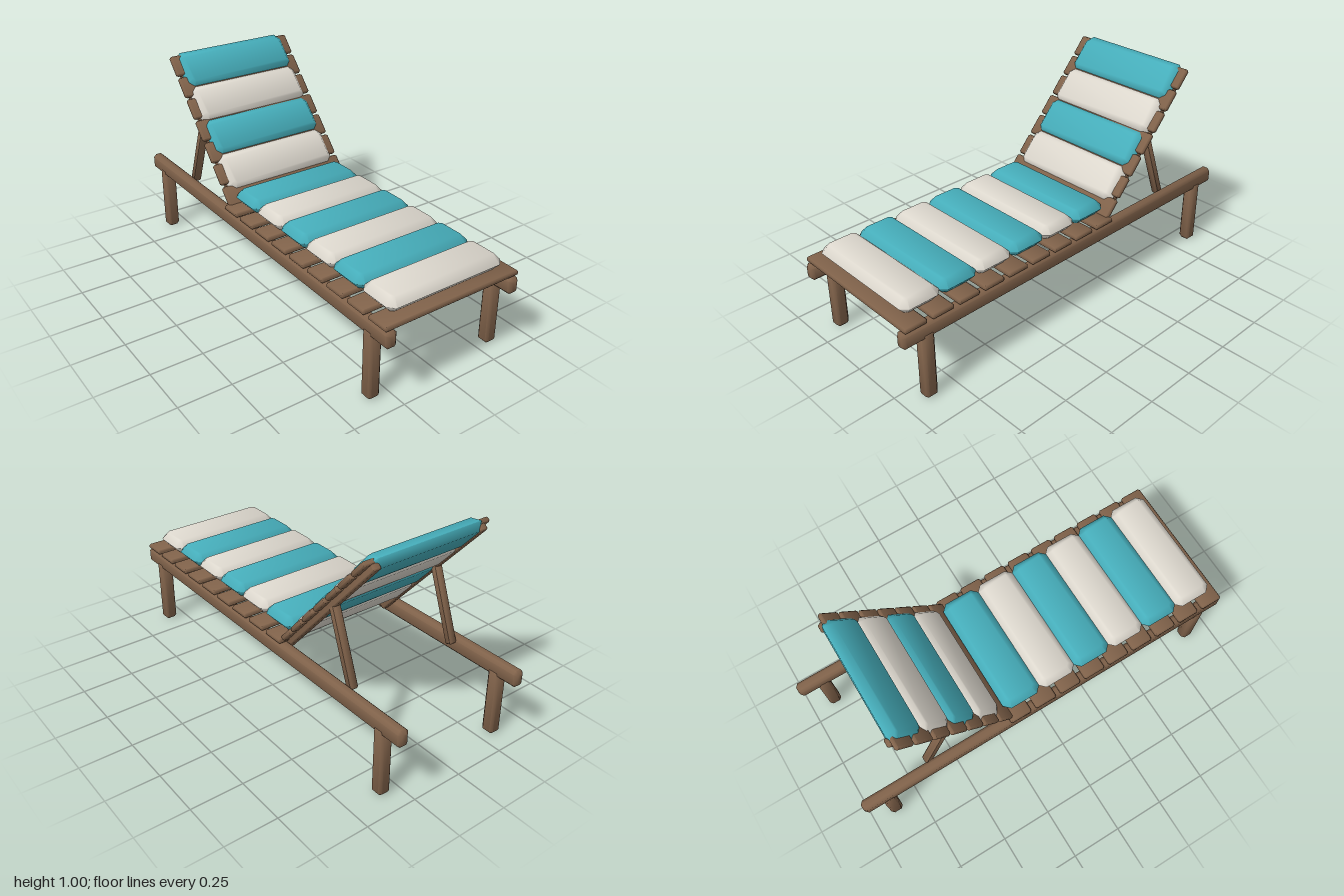
import * as THREE from 'three';
import { toCreasedNormals } from 'three/addons/utils/BufferGeometryUtils.js';

// Box with every edge chamfered: c in plan, b through the depth (z)
function chamferBox(w, h, d, c, b = c) {
  const x = w / 2, y = h / 2;
  const shape = new THREE.Shape([
    [-x + c, -y], [x - c, -y], [x, -y + c], [x, y - c],
    [x - c, y], [-x + c, y], [-x, y - c], [-x, -y + c],
  ].map(([px, py]) => new THREE.Vector2(px, py)));
  const depth = d - 2 * b;
  const geo = new THREE.ExtrudeGeometry(shape, {
    depth, bevelEnabled: true, bevelSegments: 1,
    bevelThickness: b, bevelSize: c, bevelOffset: -c,
  });
  geo.translate(0, 0, -depth / 2);
  return toCreasedNormals(geo, 0.9);
}

export function createModel() {
  const model = new THREE.Group();
  model.name = 'sunLounger';

  const material = (name, color) => {
    const m = new THREE.MeshStandardMaterial({ color });
    m.name = name;
    return m;
  };
  const wood = material('brownWood', 0x80624a);
  const teal = material('tealFabric', 0x46aebb);
  const cream = material('creamFabric', 0xddd8ce);

  const add = (parent, name, geo, mat, x, y, z) => {
    const mesh = new THREE.Mesh(geo, mat);
    mesh.name = name;
    mesh.position.set(x, y, z);
    parent.add(mesh);
    return mesh;
  };

  // Shared geometries
  const railGeo = chamferBox(0.054, 0.08, 2, 0.014);
  const legGeo = chamferBox(0.06, 0.335, 0.062, 0.012);
  const seatSlatGeo = chamferBox(0.712, 0.024, 0.112, 0.007);
  const backSlatGeo = chamferBox(0.672, 0.024, 0.106, 0.007);
  const backRailGeo = chamferBox(0.04, 0.032, 0.85, 0.006);
  const cushionGeo = (thickness) =>
    chamferBox(0.61, 0.2, thickness, 0.03, thickness / 2 - 0.001).rotateX(-Math.PI / 2);
  const seatCushionGeo = cushionGeo(0.07);
  const backCushionGeo = cushionGeo(0.068);

  // Backrest frame, tilted: local y points out of the cushions, -z runs up the back
  const backrest = new THREE.Group();
  backrest.name = 'backrest';
  backrest.rotation.x = THREE.MathUtils.degToRad(48);
  model.add(backrest);

  // Mirrored frame parts
  const propBottom = new THREE.Vector3(0, 0.355, -0.637);
  const propTop = new THREE.Vector3(0, 0.705, -0.508);
  const propDir = propTop.clone().sub(propBottom);
  const propGeo = chamferBox(0.04, propDir.length(), 0.038, 0.006);
  for (const side of [-1, 1]) {
    add(model, 'sideRail', railGeo, wood, side * 0.327, 0.341, 0);
    add(model, 'frontLeg', legGeo, wood, side * 0.327, 0.1675, 0.877);
    add(model, 'backLeg', legGeo, wood, side * 0.327, 0.1675, -0.877);
    add(backrest, 'backRail', backRailGeo, wood, side * 0.285, 0.09, -0.803);
    const prop = add(model, 'backProp', propGeo, wood, side * 0.285,
      (propBottom.y + propTop.y) / 2, (propBottom.z + propTop.z) / 2);
    prop.rotation.x = Math.atan2(propDir.z, propDir.y);
  }

  // Seat slats and striped seat cushions
  for (let i = 0; i < 9; i++) {
    add(model, 'seatSlat', seatSlatGeo, wood, 0, 0.393, 0.934 - i * 0.137);
  }
  for (let i = 0; i < 6; i++) {
    add(model, 'seatCushion', seatCushionGeo, i % 2 ? teal : cream, 0, 0.444, 0.855 - i * 0.1945);
  }

  // Backrest slats and striped back cushions, from the top down
  for (let i = 0; i < 7; i++) {
    add(backrest, 'backSlat', backSlatGeo, wood, 0, 0.113, -1.177 + i * 0.117);
  }
  for (let i = 0; i < 4; i++) {
    add(backrest, 'backCushion', backCushionGeo, i % 2 ? cream : teal, 0, 0.112, -1.143 + i * 0.183);
  }

  return model;
}
